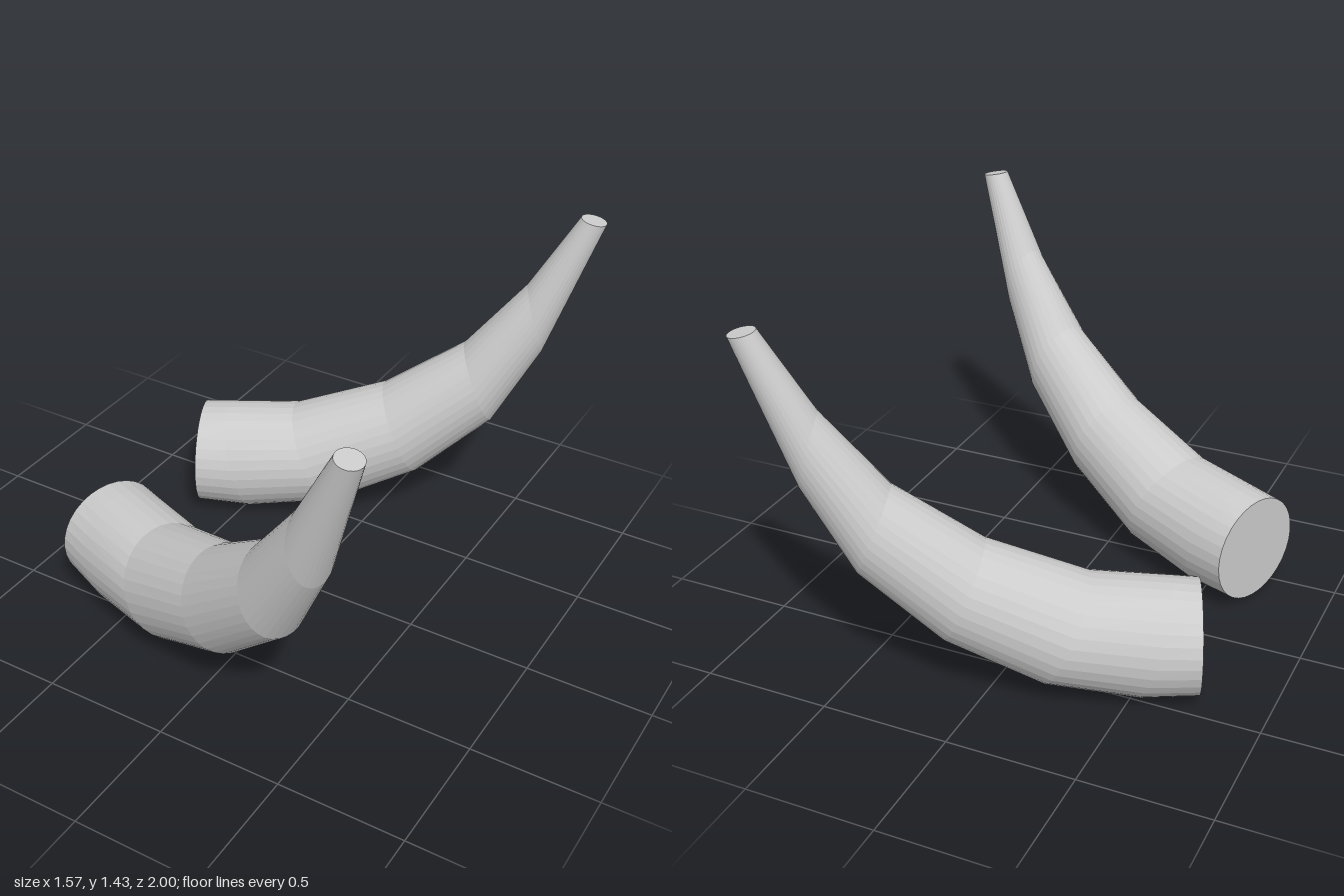
import * as THREE from 'three';

const SIDES = 32;

// Cross-sections from base to tip: centre x, centre y,
// in-plane half-axis (x part, y part), sideways radius
const RINGS = [
  [-0.70, 0.232, 0.0, 0.217, 0.217],
  [-0.55, 0.231, -0.055, 0.228, 0.217],
  [-0.255, 0.27, -0.085, 0.207, 0.213],
  [0.083, 0.43, -0.075, 0.189, 0.183],
  [0.368, 0.678, -0.062, 0.1645, 0.146],
  [0.558, 0.988, -0.037, 0.141, 0.099],
  [0.733, 1.425, -0.046, 0.010, 0.05],
];

// Each horn bends in a vertical plane that swings outward from the x axis
const SLOPE = 0.43;
const DIR = new THREE.Vector2(1, SLOPE).normalize();

function hornGeometry(side) {
  const positions = [];
  const index = [];
  const push = (x, y, z) => positions.push(x, y, z * side);
  const face = (a, b, c) => (side > 0 ? index.push(a, b, c) : index.push(a, c, b));

  for (const [cx, cy, ux, uy, w] of RINGS) {
    const cz = 0.335 + SLOPE * (cx + 0.7);
    for (let j = 0; j < SIDES; j++) {
      const a = (j / SIDES) * Math.PI * 2;
      const c = Math.cos(a), s = Math.sin(a) * w;
      push(cx + ux * c - DIR.y * s, cy + uy * c, cz + ux * SLOPE * c + DIR.x * s);
    }
  }

  // Skin between neighbouring rings
  for (let i = 0; i < RINGS.length - 1; i++) {
    for (let j = 0; j < SIDES; j++) {
      const k = (j + 1) % SIDES;
      const a = i * SIDES + j, b = i * SIDES + k;
      face(a, b, b + SIDES);
      face(a, b + SIDES, a + SIDES);
    }
  }

  // Flat ends
  const last = (RINGS.length - 1) * SIDES;
  for (let j = 1; j < SIDES - 1; j++) {
    face(0, j + 1, j);
    face(last, last + j, last + j + 1);
  }

  const indexed = new THREE.BufferGeometry();
  indexed.setAttribute('position', new THREE.Float32BufferAttribute(positions, 3));
  indexed.setIndex(index);
  const geometry = indexed.toNonIndexed();
  geometry.computeVertexNormals();
  return geometry;
}

export function createModel() {
  const group = new THREE.Group();
  group.name = 'hornPair';
  const material = new THREE.MeshStandardMaterial({ color: 0xcccccc, flatShading: true });
  for (const [name, side] of [['frontHorn', 1], ['backHorn', -1]]) {
    const horn = new THREE.Mesh(hornGeometry(side), material);
    horn.name = name;
    group.add(horn);
  }
  return group;
}
